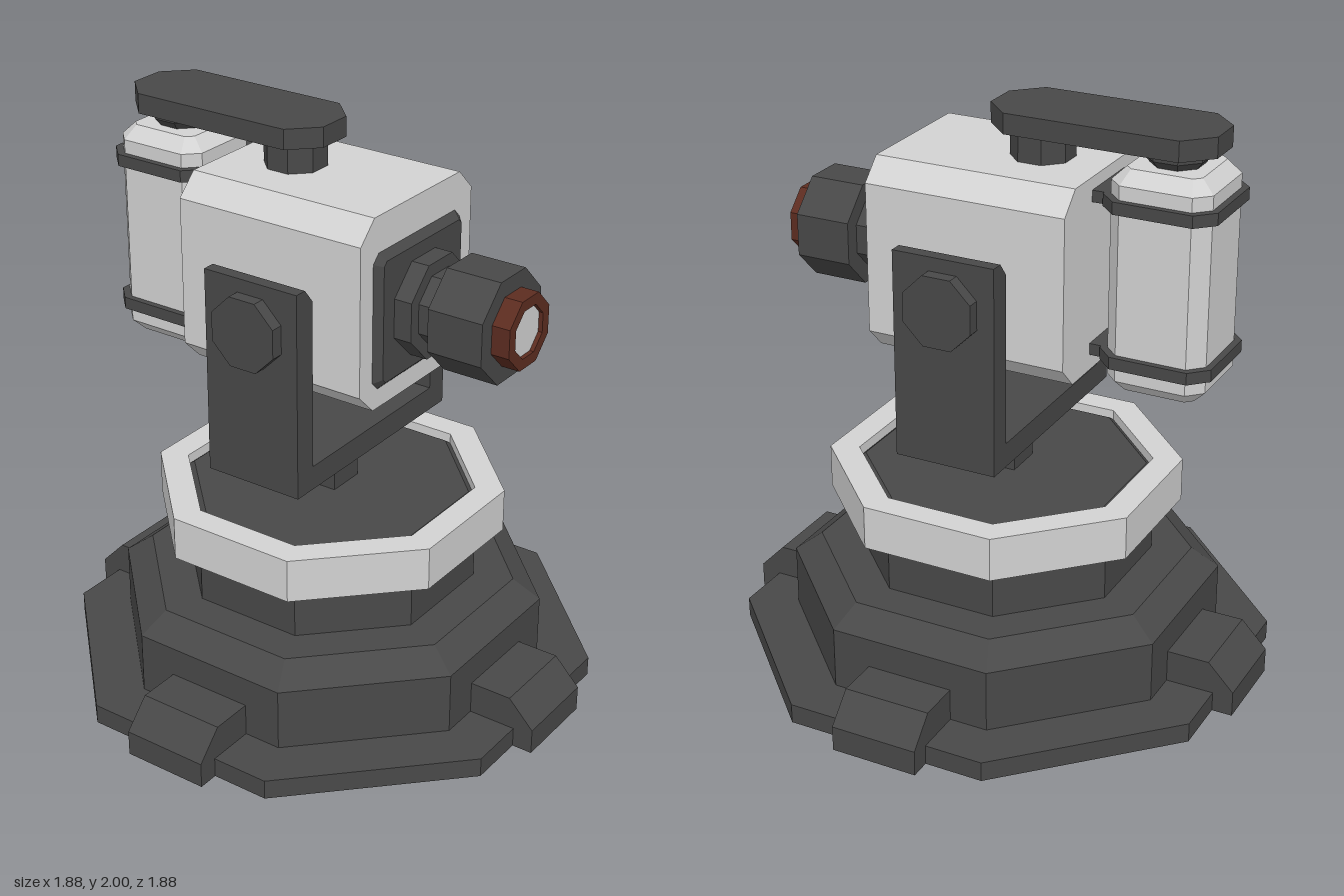
import * as THREE from 'three';

const material = (name, color) => {
  const m = new THREE.MeshStandardMaterial({ color });
  m.name = name;
  return m;
};

export function createModel() {
  const model = new THREE.Group();
  model.name = 'swivelDevice';
  const dark = material('charcoal', 0x484848);
  const light = material('lightGrey', 0xd2d2d2);
  const rust = material('rust', 0x5c2c20);

  const add = (name, geometry, mat, parent = model) => {
    const g = geometry.index ? geometry.toNonIndexed() : geometry;
    g.computeVertexNormals(); // faceted look
    const mesh = new THREE.Mesh(g, mat);
    mesh.name = name;
    parent.add(mesh);
    return mesh;
  };

  // Octagonal turned part; profile is [apothem, height], flats face the axes
  const octagon = (profile) => new THREE.LatheGeometry(
    profile.map(([a, y]) => new THREE.Vector2(a / Math.cos(Math.PI / 8), y)), 8, Math.PI / 8);
  const drum = (a, y0, y1, a0 = a) => octagon([[0, y0], [a0, y0], [a, y1], [0, y1]]);

  const polygon = (pts) => new THREE.Shape(pts.map(([x, y]) => new THREE.Vector2(x, y)));

  // Rectangle with cut corners, extruded along z from z0 to z1, optionally bevelled
  const prism = (w, h, c, z0, z1, bevel = 0) => {
    const x = w / 2, y = h / 2;
    const shape = polygon([[-x + c, -y], [x - c, -y], [x, -y + c], [x, y - c],
      [x - c, y], [-x + c, y], [-x, y - c], [-x, -y + c]]);
    return new THREE.ExtrudeGeometry(shape, {
      depth: z1 - z0 - 2 * bevel, bevelEnabled: bevel > 0, bevelThickness: bevel,
      bevelSize: bevel, bevelOffset: -bevel, bevelSegments: 1,
    }).translate(0, 0, z0 + bevel);
  };
  const upright = (...args) => prism(...args).rotateX(-Math.PI / 2);

  // Stepped base
  add('basePlate', drum(0.87, 0, 0.07), dark);
  add('baseTier', octagon([[0, 0.07], [0.7, 0.07], [0.7, 0.29], [0.61, 0.36], [0, 0.36]]), dark);
  add('turntable', octagon([[0, 0.36], [0.48, 0.36], [0.48, 0.67], [0.455, 0.69], [0, 0.69]]), dark);
  add('collar', octagon([[0.475, 0.555], [0.57, 0.555], [0.57, 0.71], [0.475, 0.71], [0.475, 0.555]]), light);

  // Four feet around the base
  const footShape = polygon([[0.65, 0], [0.942, 0], [0.942, 0.09], [0.85, 0.185], [0.65, 0.185]]);
  for (let i = 0; i < 4; i++) {
    const g = new THREE.ExtrudeGeometry(footShape, { depth: 0.31, bevelEnabled: false });
    add('foot', g.translate(0, 0, -0.155).rotateY(i * Math.PI / 2), dark);
  }

  // Post and yoke
  add('post', new THREE.BoxGeometry(0.14, 0.2, 0.14).translate(0, 0.77, 0), dark);
  const yoke = polygon([[-0.435, 0.86], [0.435, 0.86], [0.435, 1.59], [0.39, 1.59], [0.35, 1.54],
    [0.35, 0.945], [-0.35, 0.945], [-0.35, 1.54], [-0.39, 1.59], [-0.435, 1.59]]);
  add('yoke', new THREE.ExtrudeGeometry(yoke, { depth: 0.366, bevelEnabled: false })
    .translate(0, 0, -0.183), dark);
  for (const side of [-1, 1]) {
    const pivot = add('pivot', drum(0.122, 0.3, 0.48), dark);
    pivot.rotation.z = -side * Math.PI / 2;
    pivot.position.y = 1.42;
  }

  // Main housing
  add('housing', prism(0.64, 0.67, 0.075, -0.37, 0.345).translate(0, 1.49, 0), light);
  add('facePlate', prism(0.5, 0.475, 0.03, 0.3, 0.37, 0.025).translate(0, 1.462, 0), dark);

  // Barrel, pointing forward
  const barrel = new THREE.Group();
  barrel.name = 'barrel';
  barrel.rotation.x = Math.PI / 2;
  barrel.position.y = 1.46;
  model.add(barrel);
  add('barrelFlange', drum(0.165, 0.36, 0.435), dark, barrel);
  add('barrelNeck', drum(0.123, 0.43, 0.51), dark, barrel);
  add('barrelHead', drum(0.178, 0.505, 0.705), dark, barrel);
  add('muzzleRing', octagon([[0.12, 0.7], [0.12, 0.77], [0.083, 0.77], [0.083, 0.7]]), rust, barrel);
  add('lens', drum(0.084, 0.7, 0.755), light, barrel);

  // Rear canister with two straps fixed to the housing
  const rearZ = -0.607;
  add('canister', upright(0.34, 0.345, 0.05, 1.115, 1.875, 0.045).translate(0, 0, rearZ), light);
  for (const y of [1.21, 1.74]) {
    add('strap', upright(0.384, 0.39, 0.06, y, y + 0.042).translate(0, 0, rearZ), dark);
    add('strapBracket', new THREE.BoxGeometry(0.24, 0.04, 0.1).translate(0, y + 0.021, -0.4), dark);
  }

  // Top arm linking housing and canister
  add('topArm', upright(0.31, 0.785, 0.091, 1.93, 2).translate(0, 0, -0.372), dark);
  add('frontArmMount', drum(0.1, 1.8, 1.94).translate(0, 0, -0.137), dark);
  add('rearArmMount', octagon([[0, 1.86], [0.07, 1.86], [0.1, 1.9], [0.1, 1.94], [0, 1.94]])
    .translate(0, 0, rearZ), dark);

  return model;
}
